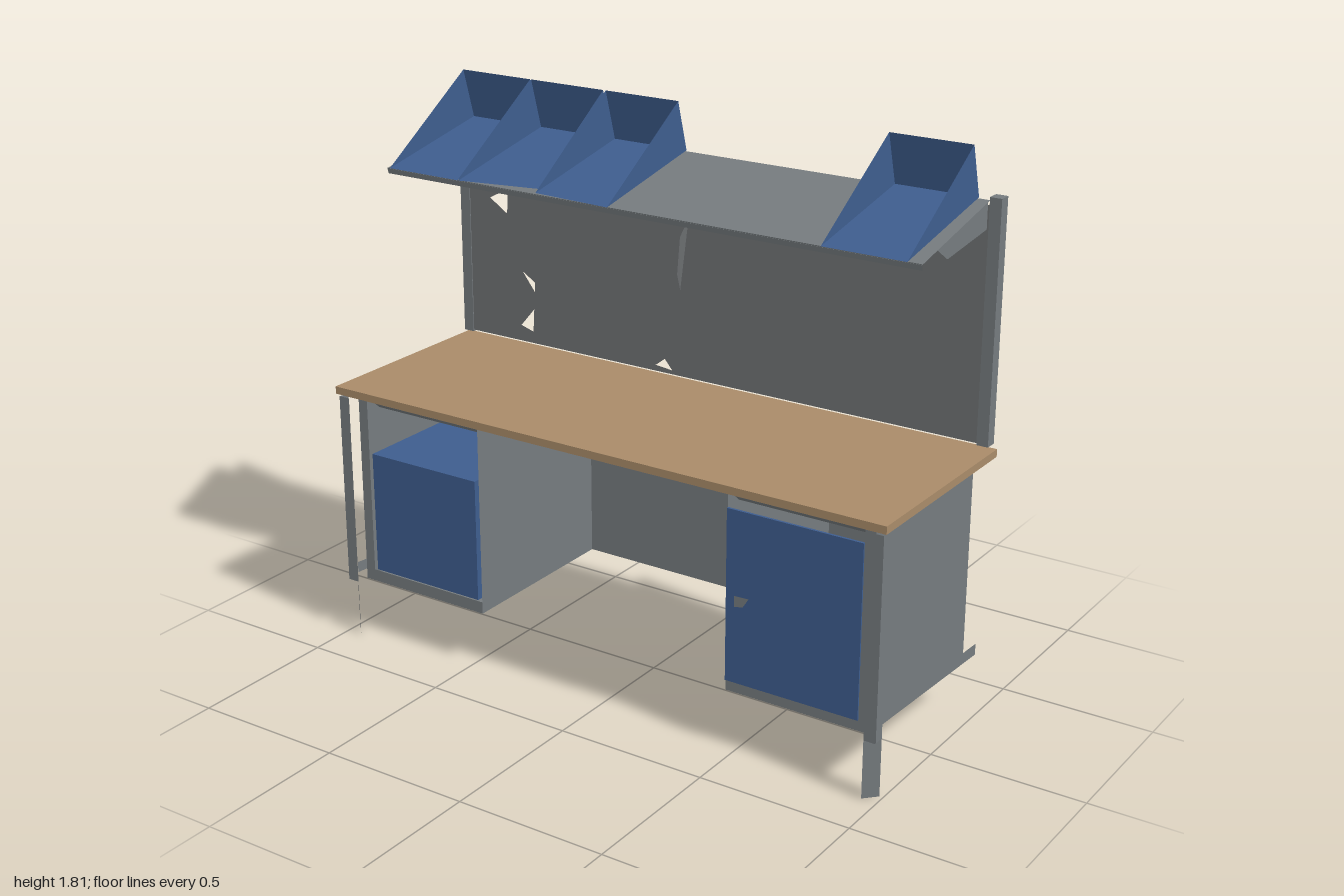
import * as THREE from 'three';

const mat = (name, color) => {
  const m = new THREE.MeshStandardMaterial({ color, side: THREE.DoubleSide });
  m.name = name;
  return m;
};

export function createModel() {
  const root = new THREE.Group();
  root.name = 'workbench';
  const grey = mat('steel grey', 0x757b7e);
  const boardGrey = mat('board grey', 0x6f7274);
  const blue = mat('bin blue', 0x3e5d8e);
  const wood = mat('wood tan', 0xa98b69);

  const add = (name, geo, material, parent = root) => {
    const m = new THREE.Mesh(geo, material);
    m.name = name;
    parent.add(m);
    return m;
  };
  // box given by its limits on each axis
  const box = (name, material, [x0, x1], [y0, y1], [z0, z1], parent) => {
    const m = add(name, new THREE.BoxGeometry(x1 - x0, y1 - y0, z1 - z0), material, parent);
    m.position.set((x0 + x1) / 2, (y0 + y1) / 2, (z0 + z1) / 2);
    return m;
  };
  // flat sheet: convex polygon of 3D corners
  const sheet = (name, material, pts, parent) => {
    const pos = [];
    for (let i = 1; i < pts.length - 1; i++) pos.push(...pts[0], ...pts[i], ...pts[i + 1]);
    const g = new THREE.BufferGeometry();
    g.setAttribute('position', new THREE.Float32BufferAttribute(pos, 3));
    g.computeVertexNormals();
    return add(name, g, material, parent);
  };

  // Worktop
  box('worktop', wood, [-1, 1], [0.845, 0.87], [-0.345, 0.345]);

  // Full-width back sheet of the base
  const bot = 0.19, top = 0.837, zb = -0.305, zf = 0.3;
  sheet('backSheet', grey, [[-0.945, bot, zb], [0.945, bot, zb], [0.945, top, zb], [-0.945, top, zb]]);

  // Two pedestals with their front legs
  for (const s of [-1, 1]) {
    const p = new THREE.Group();
    p.name = s < 0 ? 'rightPedestal' : 'leftPedestal';
    root.add(p);
    for (const x of [0.46, 0.945]) {
      sheet(x > 0.9 ? 'outerWall' : 'innerWall', grey,
        [[s * x, bot, zb], [s * x, bot, zf], [s * x, top, zf], [s * x, top, zb]], p);
    }
    sheet('floor', grey, [[s * 0.46, bot, zb], [s * 0.945, bot, zb], [s * 0.945, bot, zf], [s * 0.46, bot, zf]], p);
    // front frame: stile, bottom strip and sloping top rail
    sheet('stile', grey, [[s * 0.91, bot, zf], [s * 0.945, bot, zf], [s * 0.945, top, zf], [s * 0.91, top, zf]], p);
    sheet('bottomStrip', grey, [[s * 0.46, bot, zf], [s * 0.91, bot, zf], [s * 0.91, 0.23, zf], [s * 0.46, 0.23, zf]], p);
    sheet('topRail', grey, [[s * 0.46, top, zf], [s * 0.91, top, zf], [s * 0.91, 0.785, zf - 0.06], [s * 0.46, 0.785, zf - 0.06]], p);
    // angle-section leg that ends in a flat diagonal foot
    sheet('legFront', grey, [[s * 0.95, bot, 0.34], [s * 0.99, bot, 0.34], [s * 0.99, top, 0.34], [s * 0.95, top, 0.34]], p);
    sheet('legSide', grey, [[s * 0.988, bot, 0.3], [s * 0.988, bot, 0.34], [s * 0.988, top, 0.34], [s * 0.988, top, 0.3]], p);
    sheet('foot', grey, [[s * 0.95, 0, 0.34], [s * 0.988, 0, 0.3], [s * 0.988, bot, 0.3], [s * 0.95, bot, 0.34]], p);
    // skewed side stretcher
    sheet('stretcher', grey, s > 0
      ? [[0.947, 0.19, zf], [0.985, 0.2, zb], [0.985, 0.237, zb], [0.947, 0.225, zf]]
      : [[-0.947, 0.19, zb], [-0.985, 0.2, zf], [-0.985, 0.237, zf], [-0.947, 0.2, zb]], p);
  }

  // Drawer box on one side, door with a handle on the other
  box('drawerBox', blue, [-0.895, -0.475], [0.235, 0.645], [-0.29, 0.302]);
  box('door', blue, [0.46, 0.91], [0.225, 0.782], [0.297, 0.305]);
  sheet('doorHandle', grey, [[0.49, 0.475, 0.308], [0.52, 0.48, 0.308], [0.54, 0.512, 0.308], [0.49, 0.51, 0.308]]);

  // Rear posts
  for (const s of [-1, 1]) {
    box('rearPost', grey, s < 0 ? [-0.988, -0.95] : [0.95, 0.988], [0.885, 1.645], [-0.345, -0.305]);
  }

  // Back board with small triangular openings
  const outline = new THREE.Shape([[-0.95, 0.89], [0.95, 0.89], [0.95, 1.62], [-0.95, 1.62]]
    .map(([x, y]) => new THREE.Vector2(x, y)));
  const holes = [
    [-0.865, 1.37, -0.79, 1.41, -0.795, 1.325],
    [-0.55, 1.435, -0.505, 1.515, -0.51, 1.445],
    [0.23, 1.43, 0.295, 1.455, 0.29, 1.415],
    [0.665, 1.43, 0.72, 1.44, 0.69, 1.415],
    [-0.735, 1.135, -0.685, 1.105, -0.685, 1.07],
    [-0.745, 0.945, -0.69, 1.01, -0.695, 0.93],
    [-0.2, 0.91, -0.165, 0.937, -0.135, 0.903],
  ];
  for (const h of holes) {
    outline.holes.push(new THREE.Path([0, 2, 4].map((i) => new THREE.Vector2(h[i], h[i + 1]))));
  }
  add('backBoard', new THREE.ShapeGeometry(outline), boardGrey).position.z = -0.308;

  // Thin hook on the board
  sheet('boardHook', boardGrey, [[-0.105, 1.18, -0.306], [-0.1, 1.24, -0.28], [-0.08, 1.37, -0.265], [-0.075, 1.42, -0.306]]);

  // Sloping shelf with front lip and side brackets
  sheet('shelf', grey, [[-0.95, 1.545, 0.105], [0.95, 1.545, 0.105], [0.95, 1.635, -0.308], [-0.95, 1.635, -0.308]]);
  sheet('shelfLip', grey, [[-0.95, 1.528, 0.1], [0.95, 1.528, 0.1], [0.95, 1.548, 0.105], [-0.95, 1.548, 0.105]]);
  for (const x of [-0.945, 0.945]) {
    sheet('shelfBracket', grey, [[x, 1.632, -0.305], [x, 1.548, -0.305], [x, 1.52, -0.06], [x, 1.565, 0.01]]);
  }

  // Open wedge bins: floor, back and two cheeks; front edge may be skewed
  const bin = (x0, x1, f0 = 0.144, f1 = 0.144) => {
    const g = new THREE.Group();
    g.name = 'bin';
    root.add(g);
    const front = (x, z) => [x, 1.56 + (0.144 - z) * 0.198, z];
    const hinge = (x) => [x, 1.645, -0.285];
    const peak = (x) => [x, 1.808, -0.237];
    sheet('binFloor', blue, [front(x0, f0), front(x1, f1), hinge(x1), hinge(x0)], g);
    sheet('binBack', blue, [hinge(x0), hinge(x1), peak(x1), peak(x0)], g);
    sheet('binCheek', blue, [front(x0, f0), hinge(x0), peak(x0)], g);
    sheet('binCheek', blue, [front(x1, f1), peak(x1), hinge(x1)], g);
  };
  bin(-0.905, -0.634);
  bin(-0.63, -0.35, 0.144, 0.108);
  bin(-0.34, -0.07, 0.135, 0.144);
  bin(0.655, 0.925);

  return root;
}
